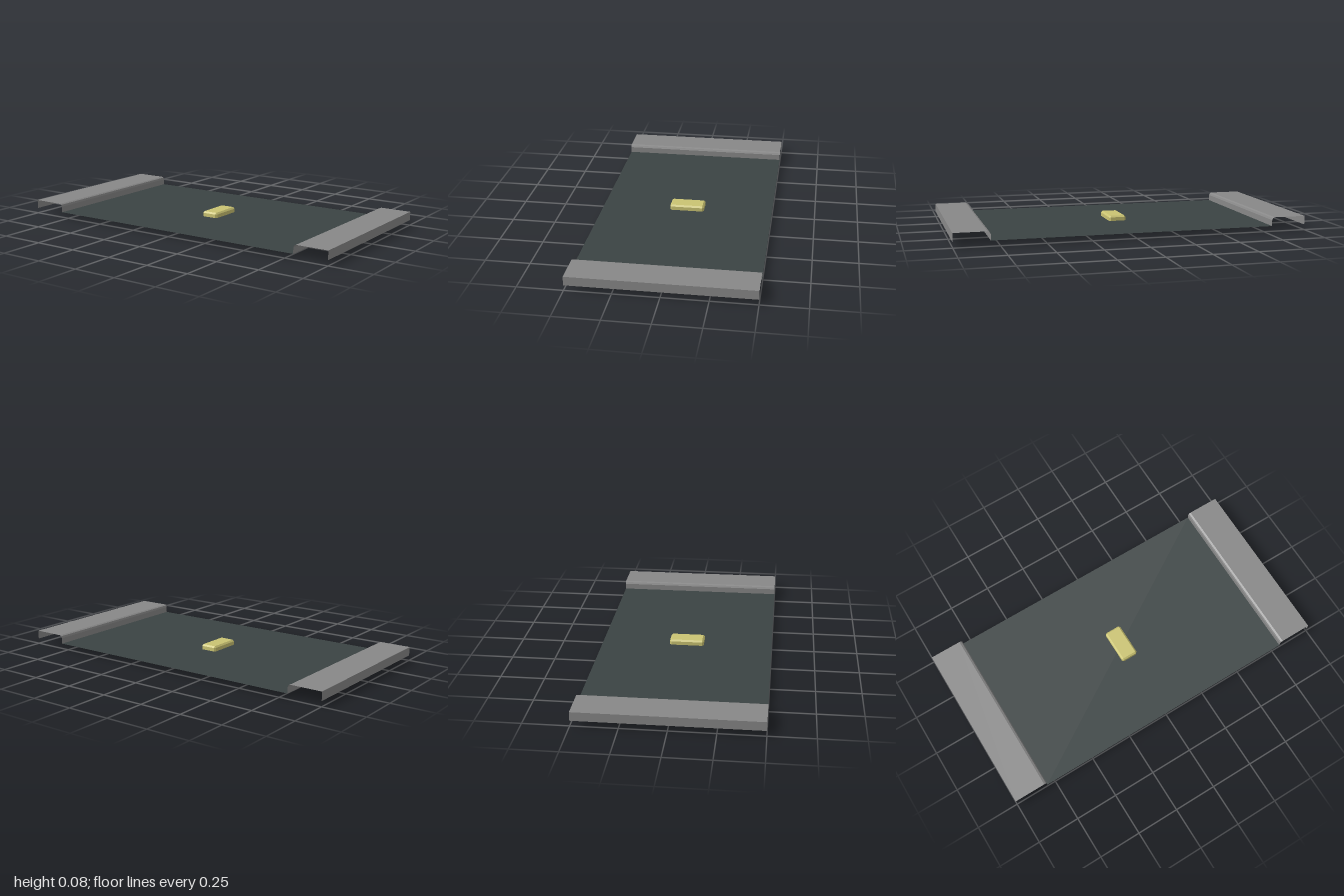
import * as THREE from 'three';
import { ConvexGeometry } from 'three/addons/geometries/ConvexGeometry.js';

const ROAD_Y = 0.03;
const LENGTH = 1; // along z

// Open sheet: a profile of [x, y] points swept along z, with flat faces
function sheet(profile) {
  const pos = [];
  const h = LENGTH / 2;
  for (let i = 0; i < profile.length - 1; i++) {
    const [x0, y0] = profile[i], [x1, y1] = profile[i + 1];
    pos.push(x0, y0, h, x1, y1, h, x1, y1, -h);
    pos.push(x0, y0, h, x1, y1, -h, x0, y0, -h);
  }
  const g = new THREE.BufferGeometry();
  g.setAttribute('position', new THREE.Float32BufferAttribute(pos, 3));
  g.computeVertexNormals();
  return g;
}

// Box standing on y = 0 with every edge chamfered
function chamferedBox(w, h, d, c) {
  const pts = [];
  const a = w / 2, b = h / 2, e = d / 2;
  for (const sx of [-1, 1]) for (const sy of [-1, 1]) for (const sz of [-1, 1]) {
    for (const [x, y, z] of [[a, b - c, e - c], [a - c, b, e - c], [a - c, b - c, e]]) {
      pts.push(new THREE.Vector3(sx * x, sy * y + b, sz * z));
    }
  }
  return new ConvexGeometry(pts);
}

export function createModel() {
  const asphalt = new THREE.MeshStandardMaterial({ color: 0x3b4343, side: THREE.DoubleSide });
  asphalt.name = 'asphalt';
  const concrete = new THREE.MeshStandardMaterial({ color: 0x888888, side: THREE.DoubleSide });
  concrete.name = 'concrete';
  const yellow = new THREE.MeshStandardMaterial({ color: 0xcac372 });
  yellow.name = 'yellow paint';

  const model = new THREE.Group();
  model.name = 'roadSection';
  const add = (name, geometry, material) => {
    const mesh = new THREE.Mesh(geometry, material);
    mesh.name = name;
    model.add(mesh);
  };

  // Road surface
  add('road', sheet([[-0.8, ROAD_Y], [0.8, ROAD_Y]]), asphalt);

  // Sidewalks: curb face, bevelled lip, walkway and outer skirt
  const curb = [[0.8, ROAD_Y], [0.8, 0.064], [0.805, 0.075], [0.816, 0.08], [1, 0.08], [1, ROAD_Y]];
  add('leftSidewalk', sheet(curb), concrete);
  add('rightSidewalk', sheet(curb.map(([x, y]) => [-x, y]).reverse()), concrete);

  // Centre line marker, half sunk through the road
  add('centreMarker', chamferedBox(0.1, 0.06, 0.2, 0.009), yellow);

  return model;
}
